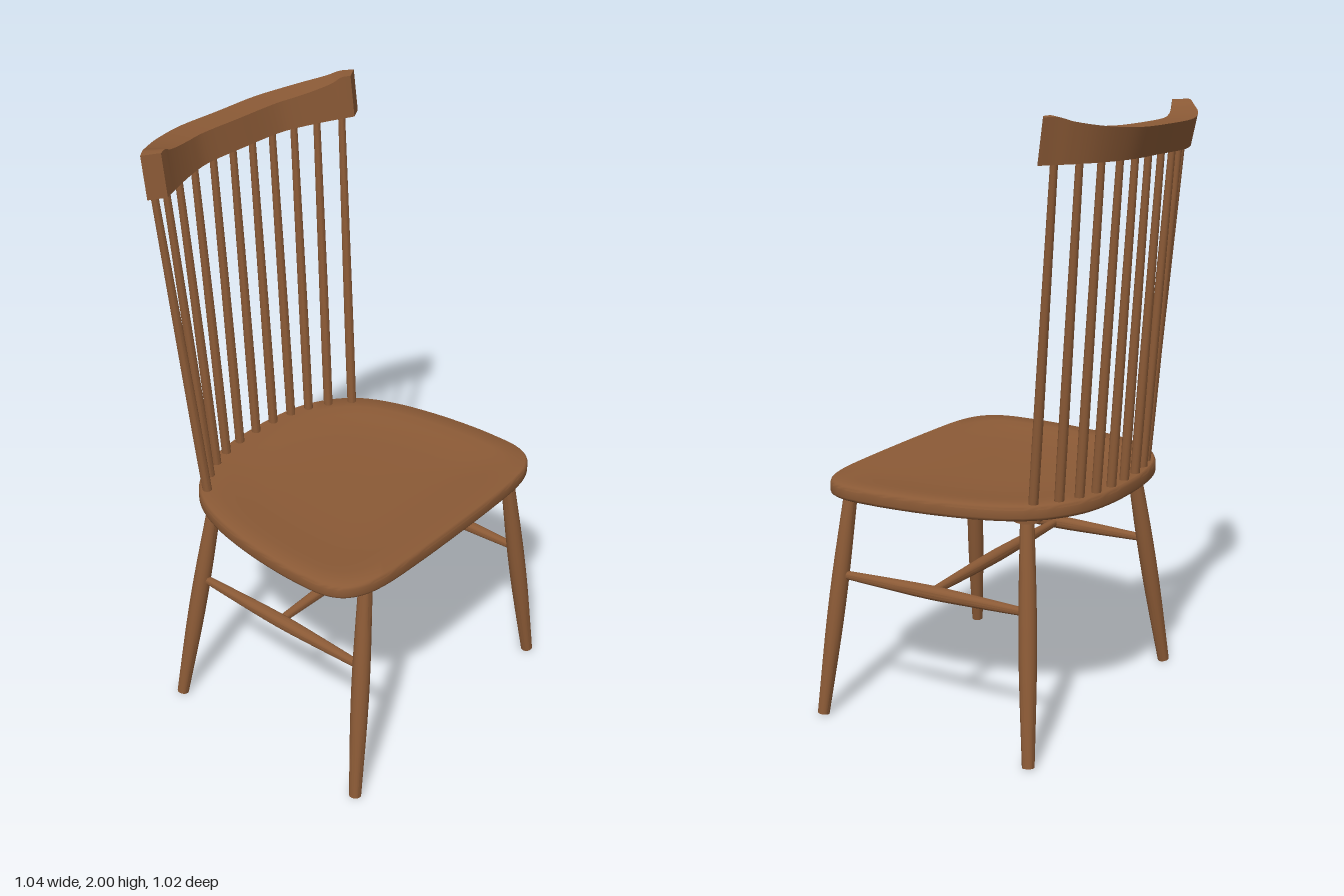
import * as THREE from 'three';
import { toCreasedNormals } from 'three/addons/utils/BufferGeometryUtils.js';

const wood = new THREE.MeshStandardMaterial({ color: 0x8b5a36 });
const V = (x, y, z) => new THREE.Vector3(x, y, z);

function part(name, geometry, parent) {
  const mesh = new THREE.Mesh(geometry, wood);
  mesh.name = name;
  parent.add(mesh);
  return mesh;
}

// Skin closed rings of points; both ends are fanned to their centres.
function loft(rings, crease) {
  const centre = (ring) => {
    const c = ring.reduce((s, p) => s.add(p), V(0, 0, 0)).divideScalar(ring.length);
    return ring.map(() => c);
  };
  const all = [centre(rings[0]), ...rings, centre(rings[rings.length - 1])];
  const pos = [];
  const tri = (a, b, c) => {
    if (a.equals(b) || b.equals(c) || a.equals(c)) return;
    for (const p of [a, b, c]) pos.push(p.x, p.y, p.z);
  };
  for (let r = 0; r < all.length - 1; r++) {
    const lo = all[r], hi = all[r + 1], n = lo.length;
    for (let i = 0; i < n; i++) {
      const j = (i + 1) % n;
      tri(lo[i], lo[j], hi[j]);
      tri(lo[i], hi[j], hi[i]);
    }
  }
  const g = new THREE.BufferGeometry();
  g.setAttribute('position', new THREE.Float32BufferAttribute(pos, 3));
  return toCreasedNormals(g, crease);
}

// Turned stick from a to b; profile holds [fraction of length, radius].
function stick(name, a, b, profile, parent) {
  const dir = b.clone().sub(a), len = dir.length();
  const curve = new THREE.SplineCurve(profile.map(([t, r]) => new THREE.Vector2(r, t * len)));
  const pts = [new THREE.Vector2(0, 0), ...curve.getPoints(12), new THREE.Vector2(0, len)];
  const mesh = part(name, toCreasedNormals(new THREE.LatheGeometry(pts, 16), 0.7), parent);
  mesh.position.copy(a);
  mesh.quaternion.setFromUnitVectors(V(0, 1, 0), dir.normalize());
}

// Mirror a half list of points, given from x = 0 outwards, to a full -x..+x list.
const mirrorX = (half) => [
  ...half.slice(1).reverse().map((p) => V(-p.x, p.y, p.z)), ...half];

// Dished seat with a shield-shaped outline
function seatGeometry() {
  const half = [[0, 0.497], [0.2, 0.495], [0.35, 0.487], [0.43, 0.468], [0.485, 0.43], [0.513, 0.37],
    [0.52, 0.28], [0.518, 0.18], [0.5, 0.02], [0.465, -0.13], [0.415, -0.24], [0.35, -0.31],
    [0.25, -0.368], [0.13, -0.395], [0, -0.402]].map(([x, z]) => V(x, 0, z));
  const loop = [...half, ...half.slice(1, -1).reverse().map((p) => V(-p.x, 0, p.z))];
  const outline = new THREE.CatmullRomCurve3(loop, true).getPoints(112).slice(0, -1);
  const ring = (s, y) => outline.map((p) => V(p.x * s, y, 0.05 + (p.z - 0.05) * s));
  return loft([ring(0.985, 0.774), ring(0.997, 0.779), ring(1, 0.785), ring(1, 0.81), ring(0.995, 0.818),
    ring(0.985, 0.822), ring(0.87, 0.821), ring(0.78, 0.817), ring(0.68, 0.811), ring(0.55, 0.807),
    ring(0.3, 0.805)], 0.7);
}

// Bent top rail: thick in the middle, leaning back, with raised ends
function railGeometry() {
  const curve = (pts) => new THREE.CatmullRomCurve3(
    mirrorX(pts.map(([x, y, z]) => V(x, y, z)))).getPoints(60);
  const back = curve([[0, 1.957, -0.51], [0.17, 1.959, -0.507], [0.26, 1.964, -0.485],
    [0.34, 1.973, -0.452], [0.41, 1.987, -0.407], [0.447, 2, -0.378], [0.484, 2, -0.351]]);
  const front = curve([[0, 1.957, -0.415], [0.17, 1.959, -0.411], [0.24, 1.963, -0.394],
    [0.31, 1.972, -0.37], [0.37, 1.986, -0.346], [0.4, 2, -0.333], [0.43, 2, -0.32]]);
  const low = (p, dz) => V(p.x, 1.865, p.z + dz);
  return loft(back.map((b, i) => {
    const f = front[i];
    // the lean of the back face fades toward the thinner ends
    const dz = 0.03 - 0.012 * Math.abs(b.x) / 0.484;
    return [b, f, low(f, 0.018), low(b, dz)];
  }), 0.6);
}

export function createModel() {
  const chair = new THREE.Group();
  chair.name = 'spindleBackChair';

  part('seat', seatGeometry(), chair);
  part('topRail', railGeometry(), chair).position.x = 0.008;

  // Spindles: [bottom x, bottom z, top x, top z]
  const spindles = new THREE.Group();
  spindles.name = 'spindles';
  chair.add(spindles);
  const rows = [[0, -0.375, 0, -0.44], [0.085, -0.372, 0.09, -0.44], [0.165, -0.36, 0.18, -0.435],
    [0.235, -0.338, 0.267, -0.418], [0.302, -0.303, 0.35, -0.39], [0.37, -0.25, 0.432, -0.352]];
  rows.forEach(([bx, bz, tx, tz], i) => {
    for (const s of i ? [-1, 1] : [1]) {
      stick('spindle', V(s * bx, 0.8, bz), V(s * tx, 1.89, tz - 0.002),
        [[0, 0.0155], [0.3, 0.0155], [1, 0.0115]], spindles);
    }
  });

  // Legs, mounting discs and side stretchers
  const legProfile = [[0, 0.02], [0.35, 0.028], [0.6, 0.029], [0.85, 0.025], [1, 0.022]];
  const stretcherProfile = [[0, 0.013], [0.25, 0.019], [0.5, 0.023], [0.75, 0.019], [1, 0.013]];
  for (const s of [-1, 1]) {
    stick('frontLeg', V(s * 0.49, 0.003, 0.487), V(s * 0.375, 0.785, 0.428), legProfile, chair);
    stick('rearLeg', V(s * 0.49, 0.003, -0.303), V(s * 0.362, 0.785, -0.225), legProfile, chair);
    for (const [x, z] of [[0.4, 0.407], [0.36, -0.225]]) {
      part('legMount', new THREE.CylinderGeometry(0.045, 0.045, 0.014, 24), chair)
        .position.set(s * x, 0.77, z);
    }
    stick('sideStretcher', V(s * 0.41, 0.48, -0.25), V(s * 0.418, 0.48, 0.45), stretcherProfile, chair);
  }
  stick('crossStretcher', V(-0.413, 0.48, 0.1), V(0.413, 0.48, 0.1), stretcherProfile, chair);

  return chair;
}
